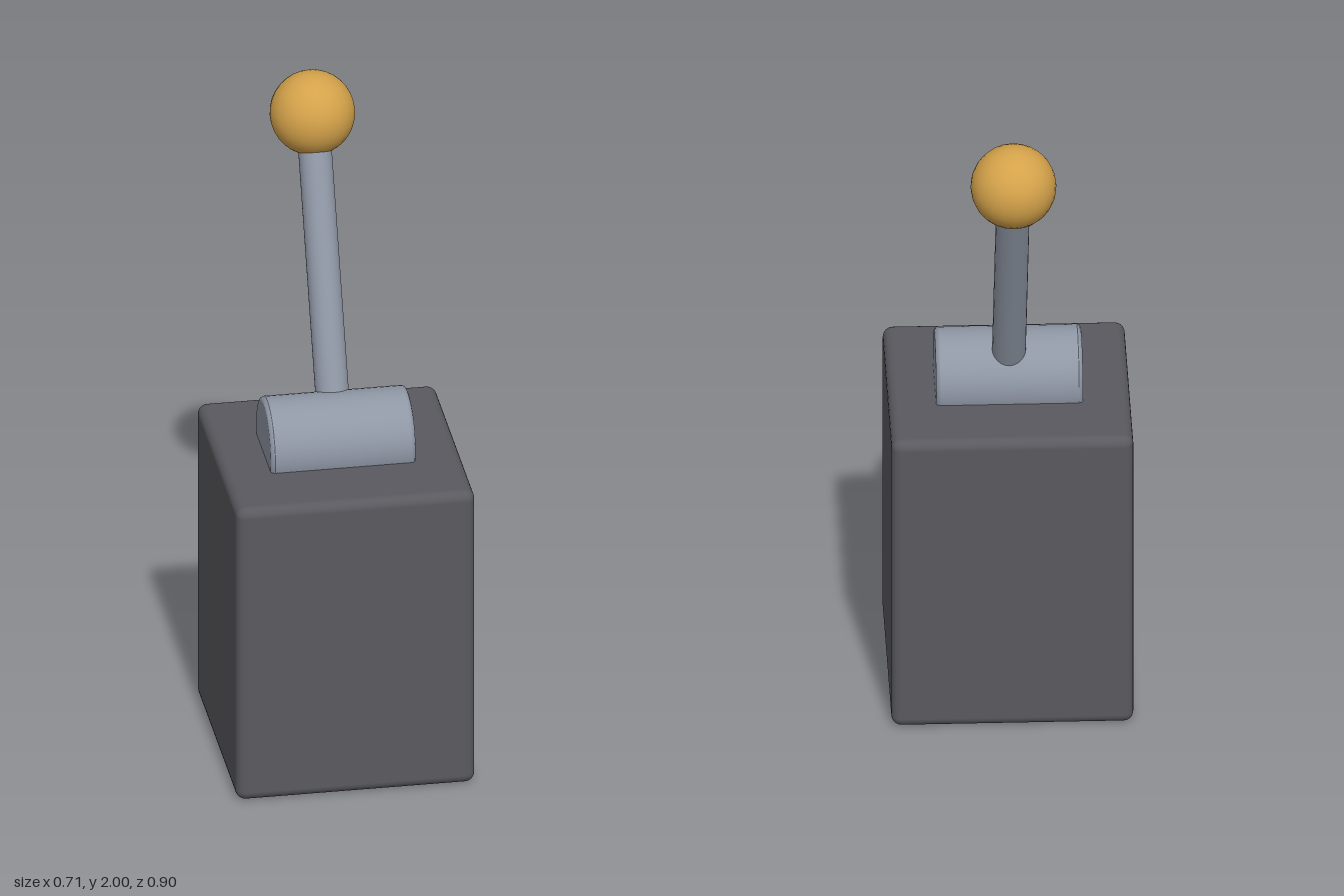
import * as THREE from 'three';
import { RoundedBoxGeometry } from 'three/addons/geometries/RoundedBoxGeometry.js';

const paint = (name, color) => {
  const m = new THREE.MeshStandardMaterial({ color });
  m.name = name;
  return m;
};

export function createModel() {
  const group = new THREE.Group();
  group.name = 'lever';
  const darkGrey = paint('dark grey', 0x5a595f);
  const steel = paint('steel', 0x8f97a5);
  const amber = paint('amber', 0xd4a24a);

  const add = (name, geometry, material, x, y, z) => {
    const mesh = new THREE.Mesh(geometry, material);
    mesh.name = name;
    mesh.position.set(x, y, z);
    group.add(mesh);
    return mesh;
  };

  // Rounded housing
  add('base', new RoundedBoxGeometry(0.715, 0.97, 0.715, 3, 0.03), darkGrey, 0, 0.488, 0.091);

  // Pivot drum lying across the top, with small chamfers at both ends
  const half = 0.217, r = 0.14, c = 0.012;
  const side = (pts) => new THREE.LatheGeometry(pts.map(([a, b]) => new THREE.Vector2(a, b)), 40);
  const drum = new THREE.Group();
  drum.name = 'pivotDrum';
  const sections = {
    drumBarrel: [[r, -half + c], [r, half - c]],
    drumLeftRim: [[r, half - c], [r - c * 0.3, half - c * 0.3], [r - c, half]],
    drumRightRim: [[r - c, -half], [r - c * 0.3, -half + c * 0.3], [r, -half + c]],
    drumLeftCap: [[r - c, half], [0, half]],
    drumRightCap: [[0, -half], [r - c, -half]],
  };
  for (const [name, pts] of Object.entries(sections)) {
    const mesh = new THREE.Mesh(side(pts), steel);
    mesh.name = name;
    drum.add(mesh);
  }
  drum.rotation.z = -Math.PI / 2;
  drum.position.set(0, 1.004, 0.09);
  group.add(drum);

  // Rod leaning back from the drum to the knob
  const foot = new THREE.Vector3(0, 1.02, 0.066);
  const tip = new THREE.Vector3(0, 1.875, -0.323);
  const along = tip.clone().sub(foot);
  const middle = foot.clone().add(tip).multiplyScalar(0.5);
  const rod = add('rod', new THREE.CylinderGeometry(0.05, 0.05, along.length(), 24), steel, ...middle.toArray());
  rod.quaternion.setFromUnitVectors(new THREE.Vector3(0, 1, 0), along.normalize());

  // Ball knob
  const knob = add('knob', new THREE.SphereGeometry(0.127, 24, 16), amber, ...tip.toArray());
  knob.quaternion.copy(rod.quaternion);

  return group;
}
